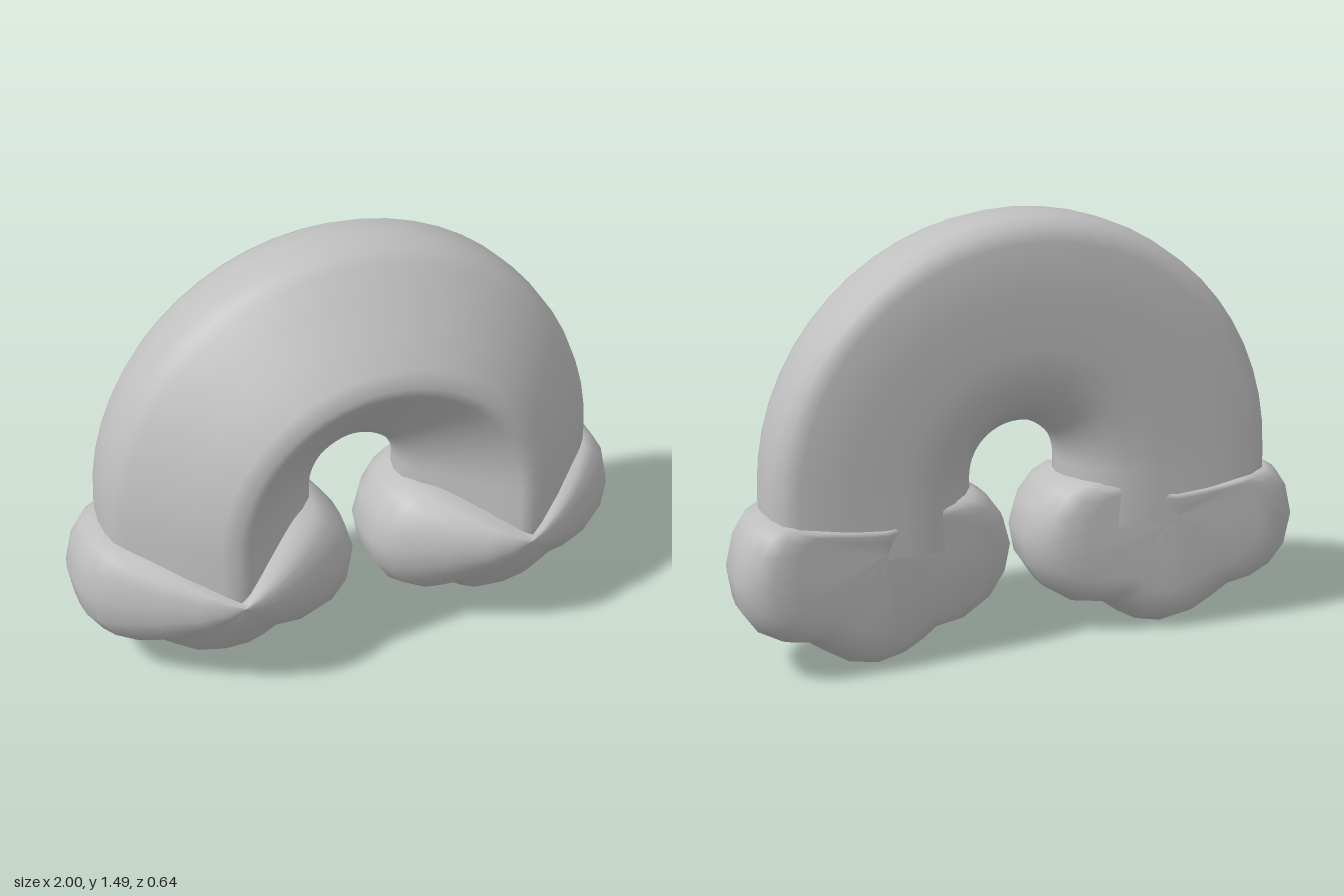
import * as THREE from 'three';

const grey = new THREE.MeshStandardMaterial({ color: 0xbfbfbf });
grey.name = 'plain grey';

// Smooth skin over a list of closed rings, each holding the same number of points
function loft(rings) {
  const n = rings[0].length, index = [];
  for (let i = 0; i < rings.length - 1; i++) {
    for (let j = 0; j < n; j++) {
      const k = (j + 1) % n;
      const a = i * n + j, b = i * n + k, c = (i + 1) * n + k, d = (i + 1) * n + j;
      index.push(a, b, c, a, c, d);
    }
  }
  const geo = new THREE.BufferGeometry();
  geo.setAttribute('position', new THREE.Float32BufferAttribute(rings.flat(2), 3));
  geo.setIndex(index);
  geo.computeVertexNormals();
  return geo;
}

// Arch cross-section as [radius, z], from the outer rim round the back to the front ridge
const section = [
  [0.87, -0.02], [0.885, -0.08], [0.888, -0.16], [0.88, -0.235], [0.856, -0.28], [0.805, -0.304],
  [0.65, -0.31], [0.45, -0.306], [0.34, -0.294], [0.265, -0.258], [0.21, -0.205], [0.175, -0.145],
  [0.163, -0.085], [0.173, -0.03], [0.215, 0.025], [0.33, 0.132], [0.44, 0.235], [0.49, 0.278],
  [0.53, 0.298], [0.58, 0.265], [0.68, 0.18], [0.78, 0.08], [0.84, 0.02],
];

// Half-round arch with short straight legs, leaning back very slightly at the top
function buildArch() {
  const cy = 0.603, steps = 28, rings = [];
  const leg = (side, y) => section.map(([r, z]) => [side * r, y, z]);
  rings.push(leg(1, 0.4), leg(1, 0.5));
  for (let i = 0; i <= steps; i++) {
    const t = Math.PI * i / steps, s = Math.sin(t);
    rings.push(section.map(([r, z]) => [r * Math.cos(t), cy + r * s, z - 0.008 * s]));
  }
  rings.push(leg(-1, 0.5), leg(-1, 0.4));
  return loft(rings);
}

// Lobed cloud outline as [x, y], anticlockwise from the lowest point
const outline = [
  [0.52, 0], [0.62, 0.02], [0.7, 0.07], [0.76, 0.112], [0.85, 0.13], [0.93, 0.175], [0.982, 0.25],
  [1, 0.36], [0.975, 0.47], [0.935, 0.53], [0.885, 0.56], [0.8, 0.55], [0.65, 0.53], [0.52, 0.52],
  [0.38, 0.54], [0.25, 0.57], [0.165, 0.558], [0.11, 0.525], [0.055, 0.45], [0.027, 0.35],
  [0.045, 0.25], [0.1, 0.165], [0.2, 0.103], [0.31, 0.09], [0.365, 0.05], [0.43, 0.015],
];
// Cloud thickness as [z, scale], from the flat back to the pointed front
const layers = [
  [-0.308, 0.001], [-0.31, 0.4], [-0.313, 0.65], [-0.311, 0.8], [-0.287, 0.91], [-0.24, 0.975],
  [-0.19, 1], [-0.11, 1], [-0.04, 0.985], [0.03, 0.92], [0.1, 0.78], [0.18, 0.58], [0.26, 0.33],
  [0.3, 0.14], [0.315, 0.001],
];

function buildCloud(side) {
  const px = 0.52, py = 0.42;
  const loop = side > 0 ? outline : [...outline].reverse();
  return loft(layers.map(([depth, s]) => loop.map(([ox, oy]) => {
    const x = px + (ox - px) * s, y = py + (oy - py) * s;
    // The inner lobe sits further forward than the outer one
    let z = depth + (x < px ? 0.14 * (px - x) : 0.04 * (px - x));
    // The lower back is rounded in
    if (depth < -0.2) z += 0.1 * Math.max(0, 0.33 - y);
    return [side * x, y, z];
  })));
}

export function createModel() {
  const group = new THREE.Group();
  group.name = 'rainbow with clouds';
  const add = (name, geo) => {
    const mesh = new THREE.Mesh(geo, grey);
    mesh.name = name;
    group.add(mesh);
  };
  add('rainbowArch', buildArch());
  add('leftCloud', buildCloud(1));
  add('rightCloud', buildCloud(-1));
  return group;
}
